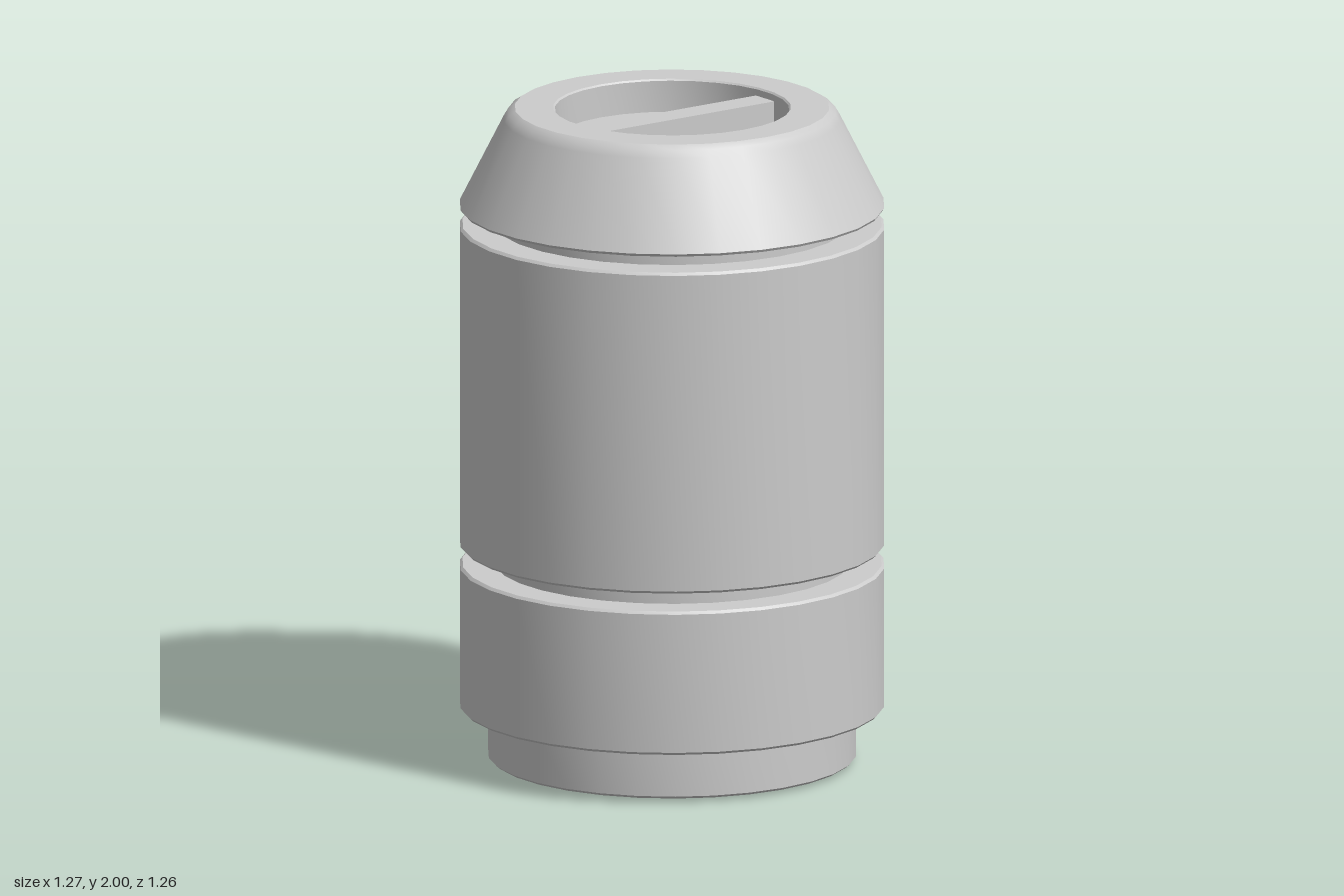
import * as THREE from 'three';
import { toCreasedNormals } from 'three/addons/utils/BufferGeometryUtils.js';

const SIDES = 30;

export function createModel() {
  const model = new THREE.Group();
  const material = new THREE.MeshStandardMaterial({ color: 0xcccccc });

  function add(name, geometry) {
    const mesh = new THREE.Mesh(geometry, material);
    mesh.name = name;
    model.add(mesh);
    return mesh;
  }

  // Turned part: profile of [radius, height] running up the outside, first corner on +x
  function turned(name, profile) {
    const points = profile.map(([r, y]) => new THREE.Vector2(r, y));
    const lathe = new THREE.LatheGeometry(points, SIDES, Math.PI / 2);
    return add(name, toCreasedNormals(lathe, Math.PI / 6));
  }

  // Closed drum with slightly bevelled rims
  function drum(name, r, y0, y1, bevel = 0.008) {
    turned(name, [
      [0, y0], [r - bevel, y0], [r, y0 + bevel],
      [r, y1 - bevel], [r - bevel, y1], [0, y1],
    ]);
  }

  // Foot with a very shallow dished-out underside
  turned('foot', [[0, 0], [0.54, 0.01], [0.55, 0.018], [0.55, 0.17], [0, 0.17]]);

  drum('lowerBand', 0.635, 0.165, 0.605);
  drum('mainBody', 0.635, 0.66, 1.645);

  // Recessed grooves between the sections
  for (const [name, y0, y1] of [['lowerGroove', 0.59, 0.67], ['upperGroove', 1.63, 1.71]]) {
    drum(name, 0.53, y0, y1, 0);
  }

  // Tapered cap with a softened shoulder and a round recess
  turned('cap', [
    [0, 1.695], [0.63, 1.695], [0.635, 1.703],
    [0.503, 1.965], [0.49, 1.987], [0.47, 2],
    [0.355, 2], [0.35, 1.995], [0.35, 1.9], [0, 1.9],
  ]);

  // Grip bar across the recess
  const bar = add('gripBar', new THREE.BoxGeometry(0.092, 0.085, 0.7));
  bar.position.y = 1.9325;

  return model;
}
